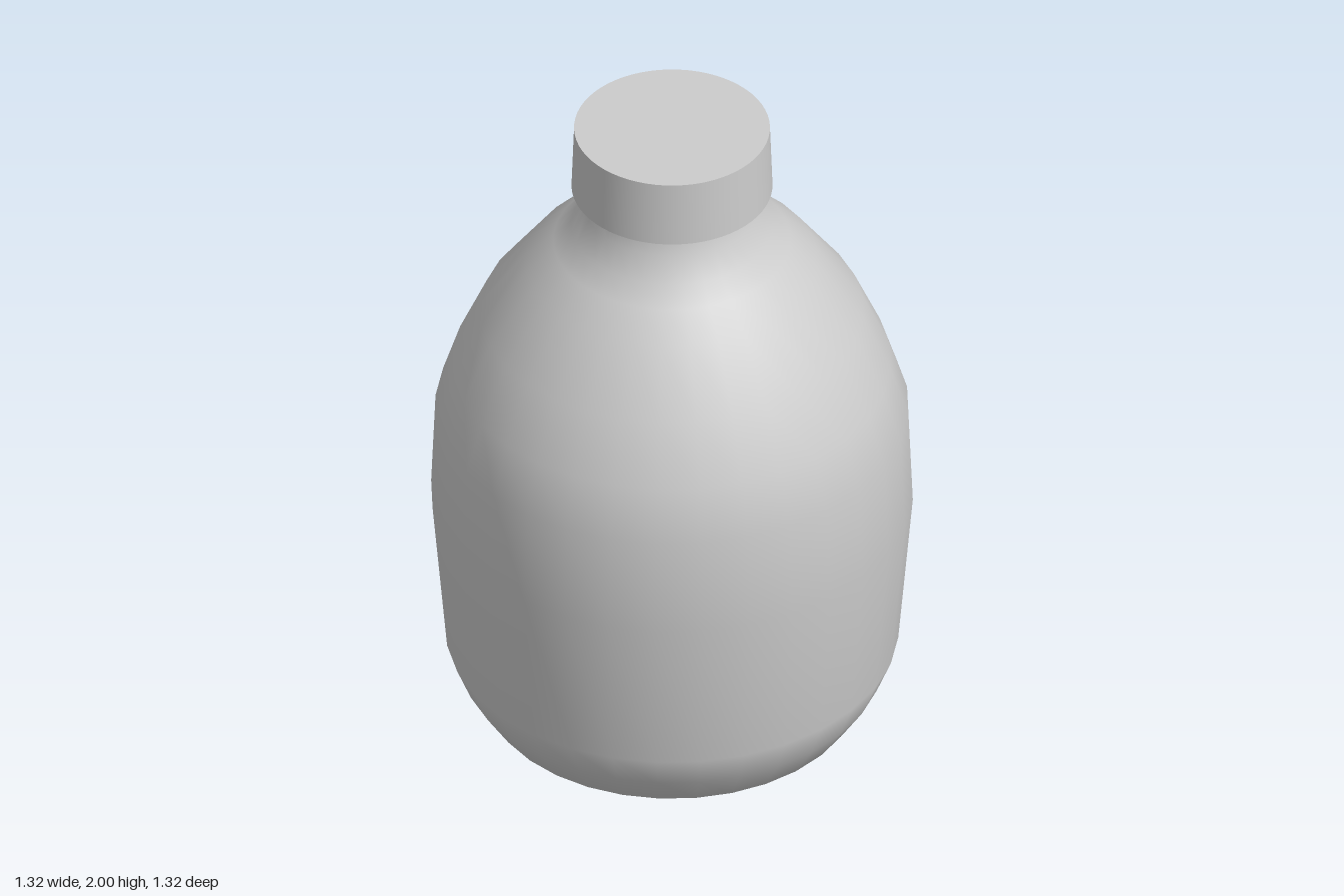
import * as THREE from 'three';

export function createModel() {
  const model = new THREE.Group();
  const material = new THREE.MeshStandardMaterial({ color: 0xcccccc });

  // Bottle body: one smooth turned profile from base centre to neck
  const profile = [
    [0, 0], [0.28, 0.004], [0.405, 0.03], [0.515, 0.1], [0.58, 0.2], [0.62, 0.3],
    [0.66, 0.77], [0.648, 1.06], [0.6, 1.21], [0.525, 1.38], [0.4, 1.55],
    [0.325, 1.62], [0.277, 1.67], [0.24, 1.74], [0.222, 1.81], [0.22, 1.9],
  ].map(([r, y]) => new THREE.Vector2(r, y));
  const body = new THREE.Mesh(new THREE.LatheGeometry(profile, 32), material);
  body.name = 'bottleBody';
  model.add(body);

  // Screw cap: slightly tapered, overhanging the neck
  const cap = new THREE.Mesh(new THREE.CylinderGeometry(0.268, 0.275, 0.195, 64), material);
  cap.name = 'cap';
  cap.position.y = 1.9025;
  model.add(cap);

  return model;
}
